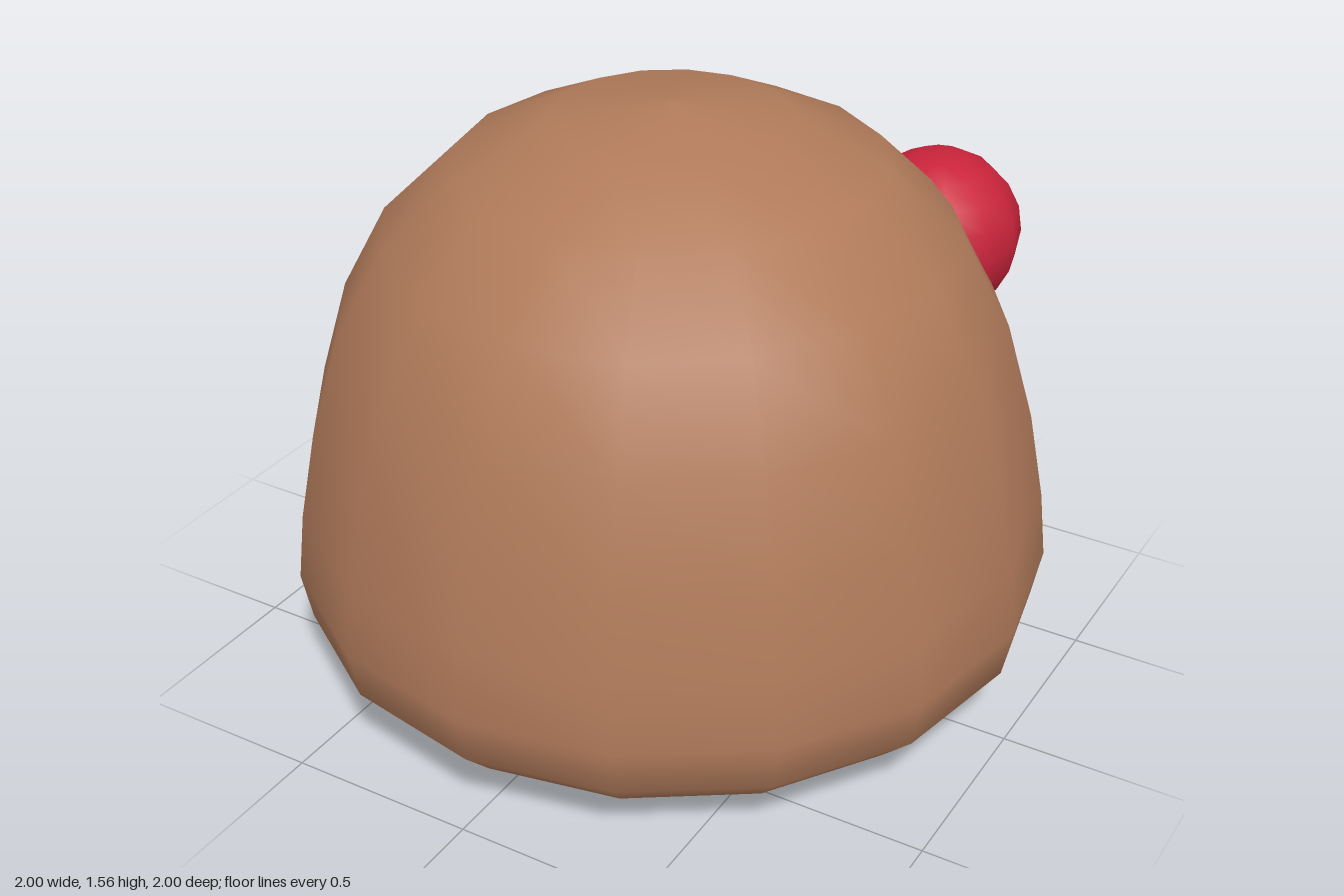
import * as THREE from 'three';

export function createModel() {
  const model = new THREE.Group();
  const brown = new THREE.MeshStandardMaterial({ name: 'brown', color: 0xb07a5a });
  const red = new THREE.MeshStandardMaterial({ name: 'red', color: 0xc8233a });

  // Squat dome body with a rounded, nearly flat base
  const profile = [
    [0, 0], [0.38, 0.015], [0.69, 0.05], [0.88, 0.105], [0.975, 0.2],
    [1, 0.33], [0.98, 0.51], [0.935, 0.745], [0.86, 1.0], [0.74, 1.225],
    [0.55, 1.41], [0.3, 1.525], [0, 1.56],
  ].map(([r, y]) => new THREE.Vector2(r, y));
  const body = new THREE.Mesh(new THREE.LatheGeometry(profile, 16), brown);
  body.name = 'body';
  model.add(body);

  // Half-sunken round eyes on the back of the dome
  for (const [side, name] of [[1, 'leftEye'], [-1, 'rightEye']]) {
    const eye = new THREE.Mesh(new THREE.SphereGeometry(0.225, 12, 10), red);
    eye.name = name;
    eye.position.set(side * 0.465, 1.08, -0.6);
    model.add(eye);
  }
  return model;
}
